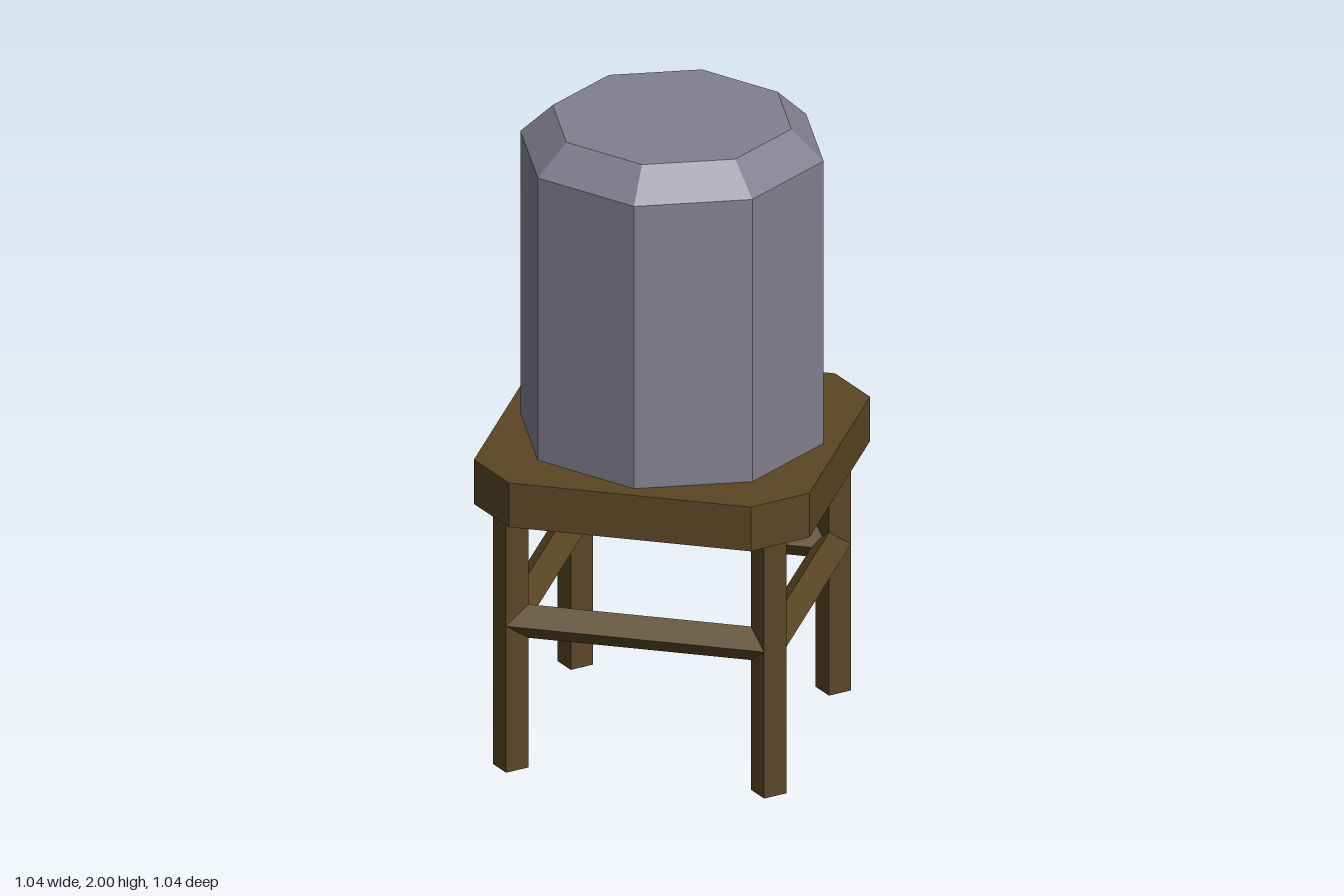
import * as THREE from 'three';

const opts = { flatShading: true, side: THREE.DoubleSide };
const wood = new THREE.MeshStandardMaterial({ name: 'darkWood', color: 0x5a4625, ...opts });
const metal = new THREE.MeshStandardMaterial({ name: 'greyMetal', color: 0x82808f, ...opts });

// Faceted mesh with one normal per face
function part(name, geometry, material) {
  const flat = geometry.toNonIndexed();
  flat.computeVertexNormals();
  const mesh = new THREE.Mesh(flat, material);
  mesh.name = name;
  return mesh;
}

// Eight-sided shell, open underneath, from [radius, height] pairs
function octagon(profile, phiStart) {
  return new THREE.LatheGeometry(profile.map(p => new THREE.Vector2(...p)), 8, phiStart);
}

export function createModel() {
  const model = new THREE.Group();
  model.name = 'waterTower';

  // Tank with a bevelled lid, sunk slightly into the platform
  const tank = octagon([[0.47, 0.968], [0.47, 1.905], [0.37, 2], [0, 2]], 0);
  model.add(part('tank', tank, metal));

  // Platform: square with cut corners
  const deck = octagon([[0.52, 0.835], [0.52, 0.98], [0, 0.98]], Math.PI / 8);
  const pos = deck.attributes.position;
  const snap = v => Math.abs(v) < 0.01 ? 0 : Math.sign(v) * (Math.abs(v) > 0.35 ? 0.52 : 0.375);
  for (let i = 0; i < pos.count; i++) {
    pos.setX(i, snap(pos.getX(i)));
    pos.setZ(i, snap(pos.getZ(i)));
  }
  model.add(part('platform', deck, wood));

  // Diamond-section legs and the braces joining them
  const legHeight = 0.975, spread = 0.4, r = 0.055;
  for (let i = 0; i < 4; i++) {
    const side = new THREE.Group();
    side.name = 'legAndBrace' + (i + 1);
    side.rotation.y = i * Math.PI / 2;

    const leg = part('leg', new THREE.CylinderGeometry(r, r, legHeight, 4, 1, true), wood);
    leg.position.set(spread, legHeight / 2, spread);

    const brace = part('brace', new THREE.CylinderGeometry(r, r, spread * 2, 4, 1, true), wood);
    brace.rotation.z = Math.PI / 2;
    brace.position.set(0, 0.48, spread);

    side.add(leg, brace);
    model.add(side);
  }
  return model;
}
